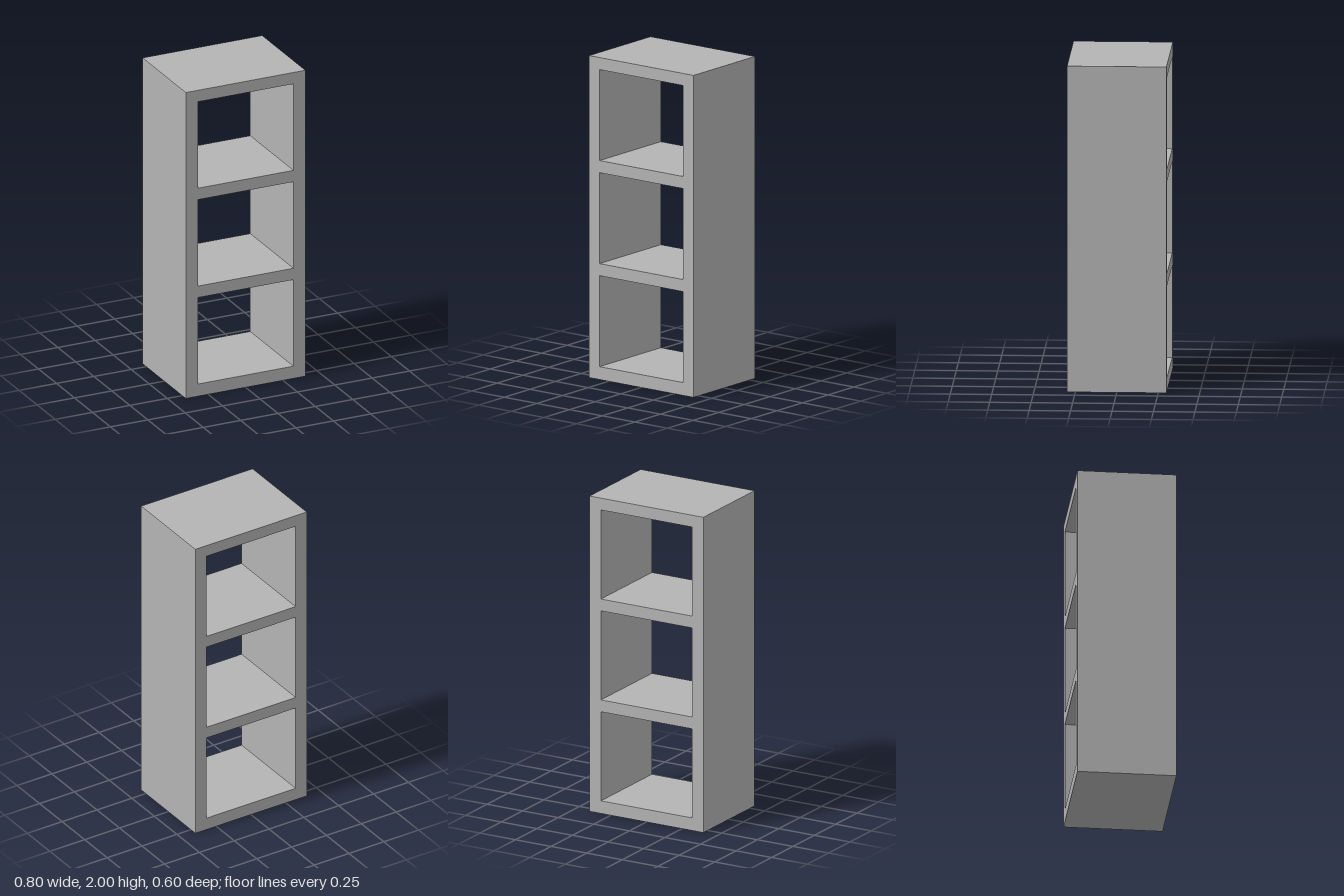
import * as THREE from 'three';

const WIDTH = 0.8, HEIGHT = 2, DEPTH = 0.6;
const OPENING_W = 0.64, OPENING_H = 0.565;
const FIRST_Y = 0.08, PITCH = 0.64, COUNT = 3;

// Traces a rectangle centred on x = 0 with its lower edge at y
function rectangle(path, y, w, h) {
  path.moveTo(-w / 2, y);
  path.lineTo(w / 2, y);
  path.lineTo(w / 2, y + h);
  path.lineTo(-w / 2, y + h);
  path.closePath();
  return path;
}

export function createModel() {
  const group = new THREE.Group();
  group.name = 'openShelf';

  const grey = new THREE.MeshStandardMaterial({ color: 0xb4b4b4 });
  grey.name = 'grey';

  // One-piece frame: outer outline with three compartments open front to back
  const outline = rectangle(new THREE.Shape(), 0, WIDTH, HEIGHT);
  for (let i = 0; i < COUNT; i++) {
    outline.holes.push(rectangle(new THREE.Path(), FIRST_Y + i * PITCH, OPENING_W, OPENING_H));
  }
  const geometry = new THREE.ExtrudeGeometry(outline, { depth: DEPTH, bevelEnabled: false });
  geometry.translate(0, 0, -DEPTH / 2);

  const frame = new THREE.Mesh(geometry, grey);
  frame.name = 'shelfFrame';
  group.add(frame);
  return group;
}
